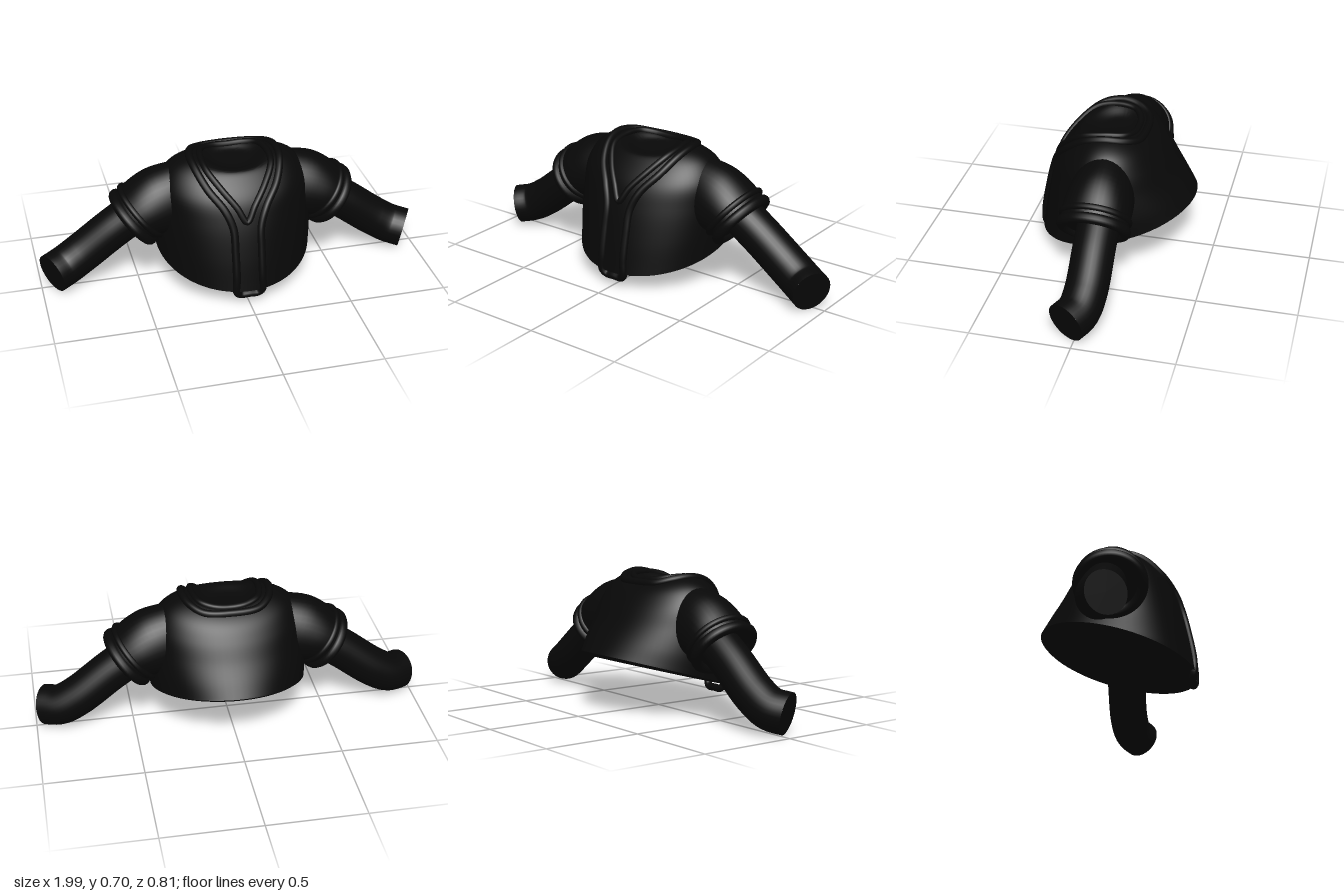
import * as THREE from 'three';
import { toCreasedNormals } from 'three/addons/utils/BufferGeometryUtils.js';

const V = (x, y, z) => new THREE.Vector3(x, y, z);
const material = new THREE.MeshStandardMaterial({ color: 0x080808 });

function part(name, geometry) {
  const mesh = new THREE.Mesh(geometry, material);
  mesh.name = name;
  return mesh;
}

// Skin closed rings of equal length, smoothing along each column
function loft(rings, steps) {
  const n = rings[0].length, pos = [], index = [];
  for (let j = 0; j < n; j++) {
    const curve = new THREE.CatmullRomCurve3(rings.map(r => r[j]));
    for (const p of curve.getPoints(steps)) pos.push(p.x, p.y, p.z);
  }
  const at = (i, j) => (j % n) * (steps + 1) + i;
  for (let i = 0; i < steps; i++) for (let j = 0; j < n; j++) {
    index.push(at(i, j), at(i, j + 1), at(i + 1, j + 1), at(i, j), at(i + 1, j + 1), at(i + 1, j));
  }
  const g = new THREE.BufferGeometry();
  g.setAttribute('position', new THREE.Float32BufferAttribute(pos, 3));
  g.setIndex(index);
  return toCreasedNormals(g, 0.7);
}

// Body ring from its front, back and side points
function bodyRing([yF, zF, yB, zB, w, yS], n = 72) {
  const ring = [], mid = (yF + yB) / 2;
  for (let j = 0; j < n; j++) {
    const a = j / n * Math.PI * 2, c = Math.cos(a), s = Math.sin(a);
    ring.push(V(w * s, mid + (yF - yB) / 2 * c + (yS - mid) * s * s, (zF + zB) / 2 + (zF - zB) / 2 * c));
  }
  return ring;
}

// Oval ring square to an axis lying in the xy plane
function sleeveRing([x, y, nx, ny, rY, rZ], n = 40) {
  const ring = [], k = Math.hypot(nx, ny);
  for (let j = 0; j < n; j++) {
    const a = j / n * Math.PI * 2, c = Math.cos(a) * rY / k;
    ring.push(V(x - ny * c, y + nx * c, 0.01 + rZ * Math.sin(a)));
  }
  return ring;
}

const piping = (points, r, steps = 160) =>
  new THREE.TubeGeometry(new THREE.CatmullRomCurve3(points, true), steps, r, 12, true);

// Close a right-hand half path (first and last points on x = 0) by mirroring
const mirrorPath = half => [...half, ...half.slice(1, -1).reverse().map(p => V(-p.x, p.y, p.z))];

export function createModel() {
  const model = new THREE.Group();
  model.name = 'jacket';

  // Body: domed shell with a slanted hem and a dished neck
  const hem = [0.08, 0.40, 0.31, -0.40, 0.40, 0.195];
  const rows = [
    hem,
    [0.25, 0.373, 0.37, -0.36, 0.405, 0.31],
    [0.42, 0.335, 0.45, -0.305, 0.40, 0.44],
    [0.53, 0.295, 0.54, -0.25, 0.385, 0.55],
    [0.61, 0.235, 0.61, -0.195, 0.33, 0.635],
    [0.65, 0.19, 0.65, -0.14, 0.25, 0.678],
    [0.65, 0.165, 0.662, -0.10, 0.18, 0.685],
    [0.635, 0.10, 0.645, -0.06, 0.10, 0.645],
    [0.635, 0.02, 0.635, 0.02, 0, 0.635],
  ];
  const body = part('body', loft(rows.map(r => bodyRing(r)), 48));
  model.add(body);

  // Underside with a narrow hem lip
  const under = [
    [0.195, 0, 0.195, 0, 0, 0.195],
    [0.14, 0.19, 0.245, -0.19, 0.19, 0.192],
    [0.083, 0.38, 0.29, -0.38, 0.38, 0.186],
    hem,
  ];
  model.add(part('underside', loft(under.map(r => bodyRing(r)), 12)));

  // Snap a rough point onto the body surface
  const core = V(0, 0.3, 0);
  const snap = ([x, y, z]) => {
    const dir = V(x, y, z).sub(core).normalize();
    const ray = new THREE.Raycaster(core.clone().addScaledVector(dir, 3), dir.clone().negate());
    const hit = ray.intersectObject(body)[0];
    return hit ? hit.point : V(x, y, z);
  };

  // Outer piping: loop under the hem, up the placket and round the collar
  const outer = [
    V(0, 0.053, 0.376), V(0.045, 0.053, 0.376), V(0.066, 0.075, 0.384),
    ...[[0.067, 0.15, 0.39], [0.067, 0.3, 0.36], [0.07, 0.41, 0.33], [0.105, 0.5, 0.3],
      [0.175, 0.59, 0.23], [0.215, 0.66, 0.13], [0.22, 0.68, 0.03], [0.2, 0.68, -0.06],
      [0.14, 0.67, -0.125], [0, 0.655, -0.14]].map(snap),
  ];
  model.add(part('outerPiping', piping(mirrorPath(outer), 0.02, 240)));

  // Inner piping: V neckline
  const inner = [[0, 0.44, 0.33], [0.045, 0.51, 0.3], [0.11, 0.59, 0.24], [0.16, 0.65, 0.15],
    [0.17, 0.68, 0.04], [0.145, 0.68, -0.05], [0.08, 0.67, -0.09], [0, 0.665, -0.098]].map(snap);
  model.add(part('necklinePiping', piping(mirrorPath(inner), 0.017)));

  for (const side of [1, -1]) {
    const limb = new THREE.Group();
    limb.name = side > 0 ? 'leftSleeveAndArm' : 'rightSleeveAndArm';

    // Short sleeve, closed inside the cuff
    const sleeve = [
      [0.22, 0.46, 1, -0.15, 0.195, 0.14],
      [0.36, 0.44, 0.9, -0.43, 0.188, 0.165],
      [0.46, 0.405, 0.8, -0.6, 0.158, 0.17],
      [0.515, 0.365, 0.785, -0.62, 0.142, 0.158],
      [0.517, 0.363, 0.785, -0.62, 0.07, 0.07],
    ];
    limb.add(part('sleeve', loft(sleeve.map(r => sleeveRing(r)), 24)));

    // Cuff roll and seam
    limb.add(part('cuff', piping(sleeveRing([0.515, 0.364, 0.785, -0.62, 0.142, 0.158], 16), 0.027, 64)));
    limb.add(part('cuffSeam', piping(sleeveRing([0.474, 0.396, 0.785, -0.62, 0.155, 0.166], 16), 0.016, 64)));

    // Arm bending forward at a flat wrist
    const path = new THREE.CatmullRomCurve3([
      V(0.42, 0.43, -0.01), V(0.6, 0.31, -0.015), V(0.78, 0.175, -0.018),
      V(0.87, 0.122, -0.003), V(0.945, 0.105, 0.037),
    ]);
    limb.add(part('arm', new THREE.TubeGeometry(path, 40, 0.104, 32)));
    const wrist = part('wristCap', new THREE.CircleGeometry(0.104, 32));
    wrist.position.copy(path.getPoint(1));
    wrist.lookAt(path.getPoint(1).add(path.getTangent(1)));
    limb.add(wrist);

    limb.scale.x = side;
    model.add(limb);
  }
  return model;
}
